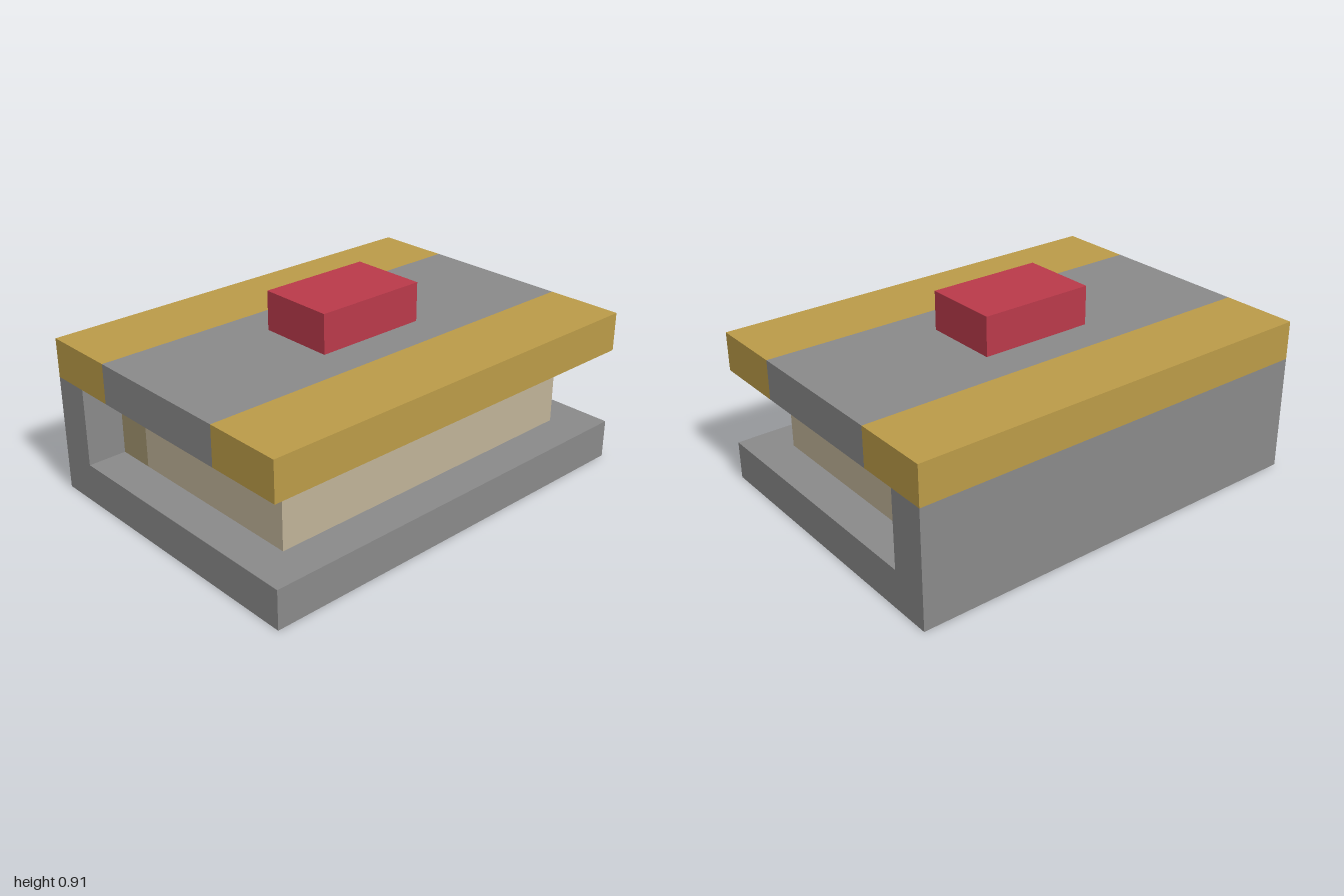
import * as THREE from 'three';

const U = 2 / 11; // one block unit

const makeMaterial = (name, color) => {
  const m = new THREE.MeshStandardMaterial({ color });
  m.name = name;
  return m;
};

export function createModel() {
  const grey = makeMaterial('grey cover', 0x8a8a8a);
  const gold = makeMaterial('gold trim', 0xbb9b48);
  const paper = makeMaterial('paper', 0xc0b398);
  const shade = makeMaterial('dark paper', 0xa39570);
  const red = makeMaterial('red clasp', 0xba3a4a);

  const group = new THREE.Group();
  group.name = 'book';

  // Box from its x and y ranges and half depth, in block units
  const block = (name, material, x0, x1, y0, y1, halfZ) => {
    const geometry = new THREE.BoxGeometry((x1 - x0) * U, (y1 - y0) * U, 2 * halfZ * U);
    const mesh = new THREE.Mesh(geometry, material);
    mesh.position.set(((x0 + x1) / 2) * U, ((y0 + y1) / 2) * U, 0);
    mesh.name = name;
    group.add(mesh);
  };

  // Back cover and spine
  block('bottomCover', grey, -4, 4, 0, 1, 5.5);
  block('spine', grey, -4, -3, 1, 3, 5.5);

  // Page block, darker next to the spine
  block('pagesNearSpine', shade, -3, -2, 1, 3, 4.5);
  block('pages', paper, -2, 3, 1, 3, 4.5);

  // Front cover with gold bands on both long sides
  block('topCoverMiddle', grey, -2, 2, 3, 4, 5.5);
  block('rightGoldBand', gold, -4, -2, 3, 4, 5.5);
  block('leftGoldBand', gold, 2, 4, 3, 4, 5.5);

  // Raised block on the cover
  block('coverOrnament', red, -1, 1, 4, 5, 1.5);

  return group;
}
